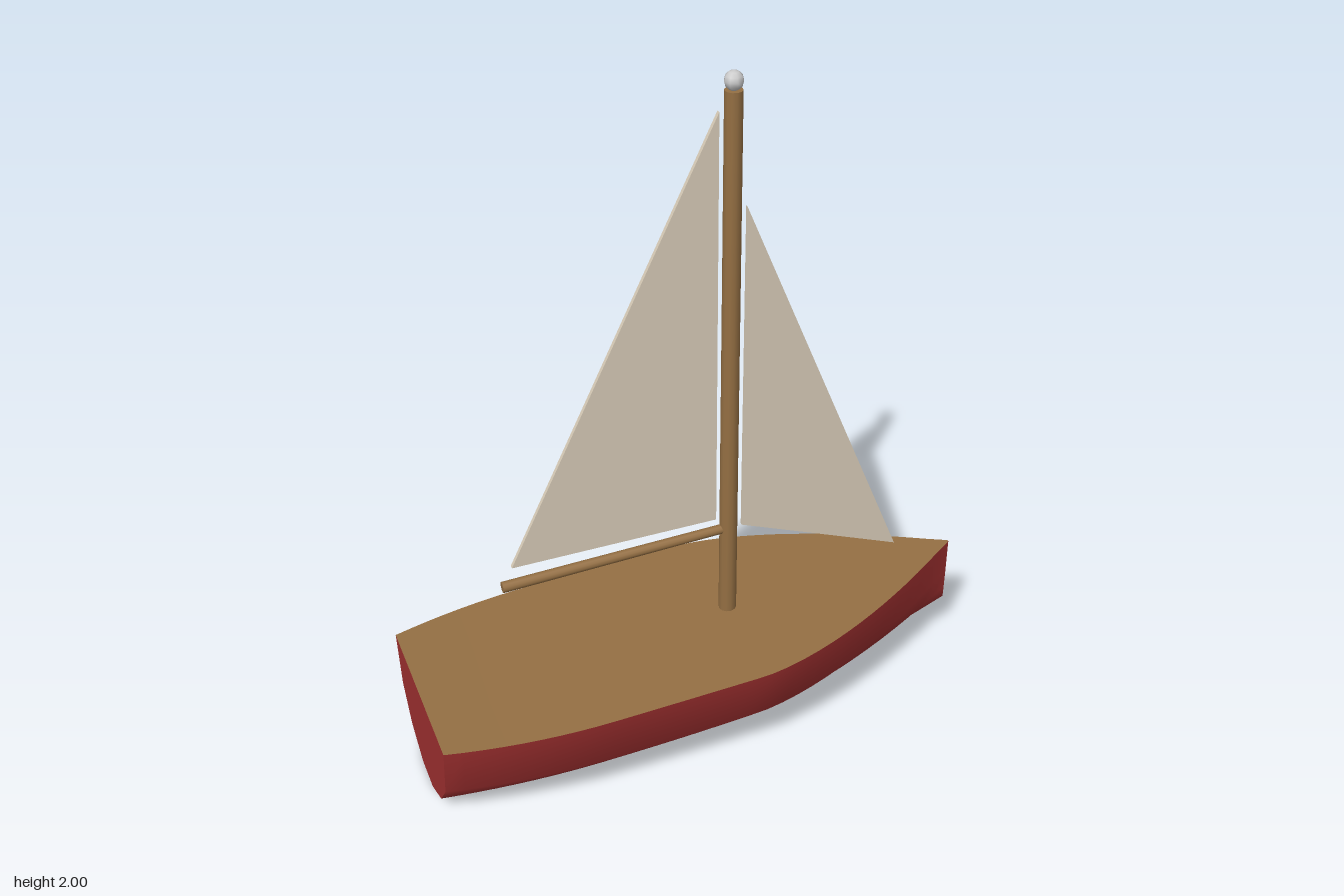
import * as THREE from 'three';

const mat = (color) => new THREE.MeshStandardMaterial({ color, side: THREE.DoubleSide });
const HALF = 0.83, STATIONS = 32;

// Half width of the deck, height of the deck and of the keel at a given x
function beam(x) {
  if (x < -0.36) return 0.325 - 0.06 * ((-0.36 - x) / 0.47) ** 2;
  if (x > 0.08) return Math.max(0.003, 0.325 * (1 - ((x - 0.08) / 0.75) ** 1.55));
  return 0.325;
}
const along = (x) => (x + HALF) / (2 * HALF);
const deckY = (x) => 0.31 + 0.035 * along(x) + 0.025 * along(x) ** 2;
const keelY = (x) => 0.155 * along(x) ** 3;

// Half section of the hull: fraction of beam, fraction of depth
const HALF_SECTION = [[1, 1], [0.9, 0.48], [0.62, 0.175], [0.21, 0]];
const SECTION = [...HALF_SECTION, ...HALF_SECTION.map(([z, y]) => [-z, y]).reverse()];

function section(x) {
  const w = beam(x), k = keelY(x), d = deckY(x) - k;
  return SECTION.map(([z, y]) => [x, k + y * d, z * w]);
}

function build(points, index) {
  const g = new THREE.BufferGeometry();
  g.setAttribute('position', new THREE.Float32BufferAttribute(points.flat(), 3));
  g.setIndex(index);
  g.computeVertexNormals();
  return g;
}

// Planking lofted through the sections
function shellGeometry(sections) {
  const n = SECTION.length, index = [];
  for (let i = 0; i < STATIONS; i++) {
    for (let j = 0; j < n - 1; j++) {
      const a = i * n + j, b = a + n;
      index.push(a, a + 1, b, a + 1, b + 1, b);
    }
  }
  return build(sections.flat(), index);
}

// Deck strip between the two upper edges
function deckGeometry(sections) {
  const index = [];
  for (let i = 0; i < STATIONS; i++) {
    const l = i * 2, r = l + 1;
    index.push(r, l, r + 2, l, l + 2, r + 2);
  }
  return build(sections.flatMap((s) => [s[0], s[s.length - 1]]), index);
}

// Flat end of the hull
function endGeometry(points) {
  const index = [];
  for (let j = 1; j < points.length - 1; j++) index.push(0, j, j + 1);
  return build(points, index);
}

// Round spar between two points
function sparGeometry(from, to, r0, r1) {
  const a = new THREE.Vector3(...from), b = new THREE.Vector3(...to);
  const dir = b.clone().sub(a);
  const g = new THREE.CylinderGeometry(r1, r0, dir.length(), 12);
  g.applyQuaternion(new THREE.Quaternion().setFromUnitVectors(new THREE.Vector3(0, 1, 0), dir.normalize()));
  return g.translate(...a.add(b).multiplyScalar(0.5).toArray());
}

// Thin triangular sail centred on z = 0
function sailGeometry(corners, thickness) {
  const shape = new THREE.Shape(corners.map(([x, y]) => new THREE.Vector2(x, y)));
  return new THREE.ExtrudeGeometry(shape, { depth: thickness, bevelEnabled: false }).translate(0, 0, -thickness / 2);
}

export function createModel() {
  const boat = new THREE.Group();
  boat.name = 'sailboat';
  const red = mat(0xa03030), wood = mat(0x946f43), cloth = mat(0xd8ccb8), grey = mat(0xcccccc);
  const add = (name, geometry, material, parent = boat) => {
    const mesh = new THREE.Mesh(geometry, material);
    mesh.name = name;
    parent.add(mesh);
    return mesh;
  };

  // Hull
  const sections = [];
  for (let i = 0; i <= STATIONS; i++) sections.push(section(-HALF + (2 * HALF * i) / STATIONS));
  const hull = new THREE.Group();
  hull.name = 'hull';
  boat.add(hull);
  add('planking', shellGeometry(sections), red, hull);
  add('transom', endGeometry([...sections[0]].reverse()), red, hull);
  add('stem', endGeometry(sections[STATIONS]), red, hull);
  add('deck', deckGeometry(sections), wood, hull);

  // Rigging
  add('mast', sparGeometry([0.1, 0.32, 0], [0.1, 1.95, 0], 0.026, 0.024), wood);
  add('boom', sparGeometry([-0.57, 0.605, 0], [0.1, 0.625, 0], 0.016, 0.014), wood);
  add('mastBall', new THREE.SphereGeometry(0.026, 8, 6).translate(0.1, 1.974, 0), grey);

  // Sails
  add('mainSail', sailGeometry([[-0.54, 0.667], [0.06, 0.667], [0.06, 1.9]], 0.012), cloth);
  add('jib', sailGeometry([[0.14, 0.625], [0.64, 0.42], [0.14, 1.63]], 0.008), cloth);
  return boat;
}
